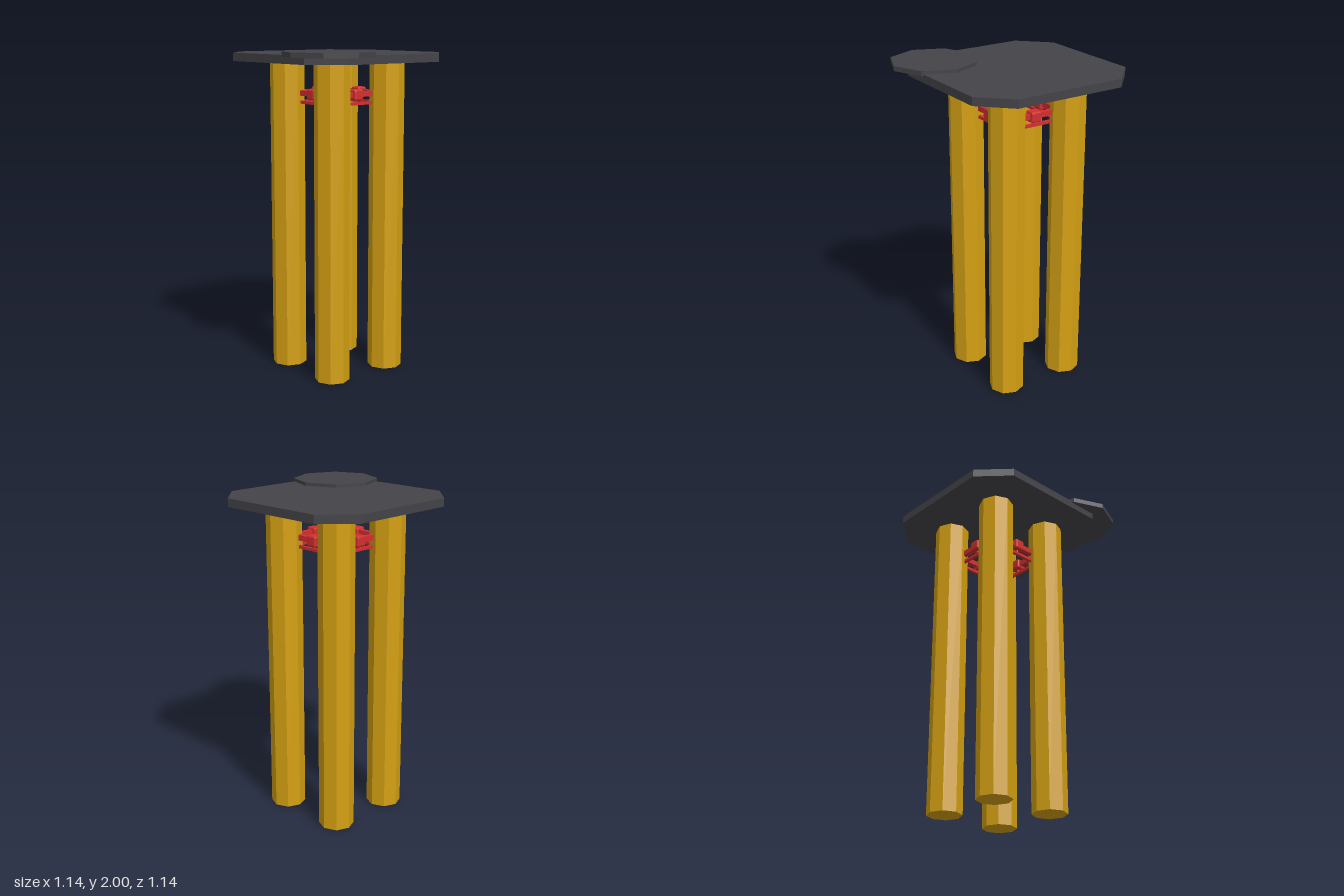
import * as THREE from 'three';
import { RoundedBoxGeometry } from 'three/addons/geometries/RoundedBoxGeometry.js';

const CX = 0.045, CZ = -0.045; // centre of the four legs and the deck

function material(name, color) {
  const m = new THREE.MeshStandardMaterial({ color, flatShading: true });
  m.name = name;
  return m;
}

export function createModel() {
  const group = new THREE.Group();
  const yellow = material('yellow', 0xd4a012);
  const charcoal = material('charcoal', 0x444348);
  const red = material('red', 0xd32f2f);

  function add(parent, name, geometry, mat, x, y, z) {
    const mesh = new THREE.Mesh(geometry, mat);
    mesh.name = name;
    mesh.position.set(x, y, z);
    parent.add(mesh);
    return mesh;
  }

  // four octagonal legs
  const legGeometry = new THREE.CylinderGeometry(0.107, 0.107, 1.935, 8);
  for (const sx of [-1, 1]) for (const sz of [-1, 1]) {
    add(group, 'leg', legGeometry, yellow, CX + sx * 0.2165, 0.9675, CZ + sz * 0.2165);
  }

  // square deck with cut corners
  const h = 0.525, c = 0.35;
  const outline = [[h, c], [c, h], [-c, h], [-h, c], [-h, -c], [-c, -h], [c, -h], [h, -c]];
  const deckShape = new THREE.Shape(outline.map(([x, y]) => new THREE.Vector2(x, y)));
  const deckGeometry = new THREE.ExtrudeGeometry(deckShape, { depth: 0.05, bevelEnabled: false });
  deckGeometry.rotateX(-Math.PI / 2);
  add(group, 'deck', deckGeometry, charcoal, CX, 1.93, CZ);

  // small octagonal plate overhanging one corner
  add(group, 'cornerPlate', new THREE.CylinderGeometry(0.263, 0.263, 0.03, 8), charcoal, -0.308, 1.985, 0.305);

  // a brace on each side: two rails, a central block and its pin
  const upperRail = new THREE.BoxGeometry(0.32, 0.032, 0.03);
  const lowerRail = new THREE.BoxGeometry(0.32, 0.018, 0.018);
  const block = new RoundedBoxGeometry(0.07, 0.066, 0.066, 1, 0.01);
  const pin = new THREE.CylinderGeometry(0.008, 0.008, 0.04, 8);
  for (let i = 0; i < 4; i++) {
    const brace = new THREE.Group();
    brace.name = 'brace';
    brace.position.set(CX, 0, CZ);
    brace.rotation.y = i * Math.PI / 2;
    add(brace, 'upperRail', upperRail, red, 0, 1.735, 0.178);
    add(brace, 'lowerRail', lowerRail, red, 0, 1.679, 0.178);
    add(brace, 'block', block, red, 0, 1.733, 0.178);
    add(brace, 'pin', pin, red, 0, 1.69, 0.178);
    group.add(brace);
  }
  return group;
}
